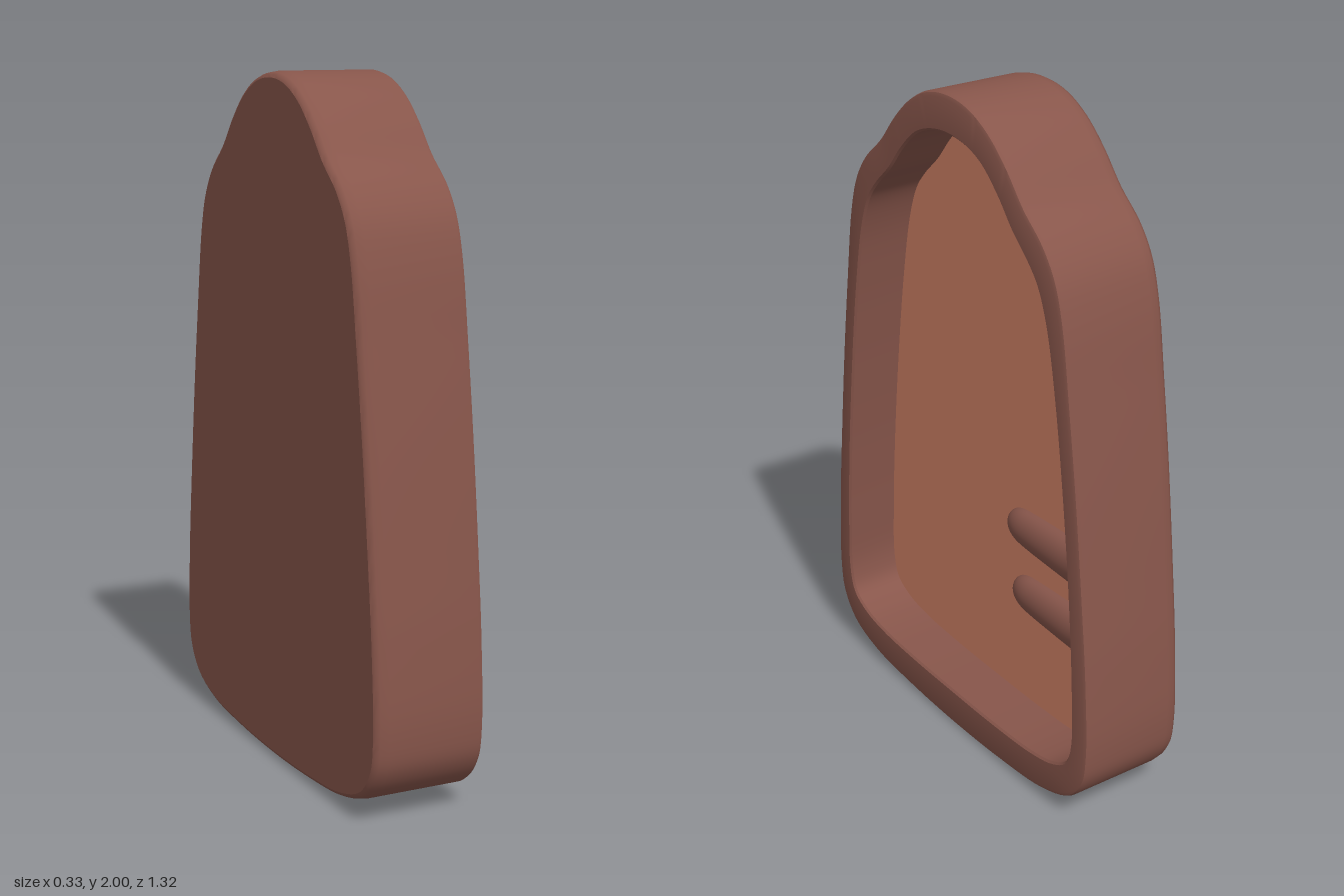
import * as THREE from 'three';
import { toCreasedNormals } from 'three/addons/utils/BufferGeometryUtils.js';

const STEPS = 204;
const BACK = -0.165, FRONT = 0.165, FLOOR = 0;

// Half outlines as [z, y], bottom centre to top centre; both have the same point count
const OUTER = [[0, 0], [0.25, 0.008], [0.45, 0.03], [0.58, 0.08], [0.643, 0.16], [0.66, 0.26],
  [0.65, 0.5], [0.625, 0.75], [0.59, 1.05], [0.555, 1.3], [0.52, 1.52], [0.485, 1.63],
  [0.43, 1.71], [0.345, 1.785], [0.27, 1.87], [0.19, 1.94], [0.1, 1.985], [0, 2]];
const INNER = [[0, 0.12], [0.22, 0.122], [0.4, 0.133], [0.5, 0.155], [0.565, 0.195], [0.588, 0.27],
  [0.585, 0.45], [0.565, 0.72], [0.53, 1.03], [0.49, 1.3], [0.45, 1.49], [0.41, 1.59],
  [0.365, 1.645], [0.295, 1.71], [0.23, 1.785], [0.155, 1.85], [0.08, 1.88], [0, 1.89]];

// Mirror a half outline and smooth it into a closed loop
function outline(half) {
  const mirrored = half.slice(1, -1).reverse().map(([z, y]) => [-z, y]);
  const pts = [...half, ...mirrored].map(([z, y]) => new THREE.Vector3(0, y, z));
  return new THREE.CatmullRomCurve3(pts, true);
}

// One loop of points at depth x, moved inwards by inset
function ring(curve, x, inset) {
  return Array.from({ length: STEPS }, (_, i) => {
    const p = curve.getPoint(i / STEPS), t = curve.getTangent(i / STEPS);
    return new THREE.Vector3(x, p.y + t.z * inset, p.z - t.y * inset);
  });
}

function loft(rings) {
  const pos = rings.flat().flatMap((p) => [p.x, p.y, p.z]);
  const index = [];
  for (let k = 0; k < rings.length - 1; k++) {
    for (let i = 0; i < STEPS; i++) {
      const j = (i + 1) % STEPS;
      const a = k * STEPS + i, b = a + STEPS, c = (k + 1) * STEPS + j, d = k * STEPS + j;
      index.push(a, b, c, a, c, d);
    }
  }
  const g = new THREE.BufferGeometry();
  g.setAttribute('position', new THREE.Float32BufferAttribute(pos, 3));
  g.setIndex(index);
  return toCreasedNormals(g, 0.7);
}

// Flat panel filling a ring, facing +x (side 1) or -x (side -1)
function panel(points, side) {
  const shape = new THREE.Shape(points.map((p) => new THREE.Vector2(-side * p.z, p.y)));
  const g = new THREE.ShapeGeometry(shape);
  g.rotateY((side * Math.PI) / 2);
  g.translate(points[0].x, 0, 0);
  return g;
}

export function createModel() {
  const group = new THREE.Group();
  const shellMat = new THREE.MeshStandardMaterial({ color: 0x88564b });
  const floorMat = new THREE.MeshStandardMaterial({ color: 0xcd7f64 });
  const add = (name, geometry, material) => {
    const mesh = new THREE.Mesh(geometry, material);
    mesh.name = name;
    group.add(mesh);
    return mesh;
  };

  const outer = outline(OUTER), inner = outline(INNER);

  // Outer wall, softened rim and inner wall in one loft
  const backRing = ring(outer, BACK, 0.018);
  add('shell', loft([
    backRing,
    ring(outer, BACK + 0.004, 0.01),
    ring(outer, BACK + 0.015, 0.004),
    ring(outer, BACK + 0.04, 0),
    ring(outer, FRONT - 0.014, 0),
    ring(outer, FRONT - 0.004, 0.004),
    ring(outer, FRONT, 0.014),
    ring(inner, FRONT, -0.006),
    ring(inner, FRONT - 0.006, 0),
    ring(inner, FLOOR, 0),
  ]), shellMat);
  add('backPanel', panel(backRing, -1), shellMat);

  // Recessed floor
  add('recessFloor', panel(ring(inner, FLOOR, 0), 1), floorMat);

  // Two tapered ridges running from the wall across the floor
  const profile = new THREE.SplineCurve([[0, 0], [0.034, 0.018], [0.054, 0.06], [0.061, 0.13],
    [0.066, 0.25], [0.07, 0.34], [0.083, 0.41], [0.085, 0.46], [0.08, 0.51]]
    .map(([r, l]) => new THREE.Vector2(r, l))).getPoints(48);
  profile[0].x = 0;
  const ridge = new THREE.LatheGeometry(profile, 40);
  ridge.rotateX(-Math.PI / 2);
  ridge.scale(0.75, 1, 1);
  [['upperRidge', 0.708, -0.068], ['lowerRidge', 0.494, -0.096]].forEach(([name, y, z]) => {
    add(name, ridge, shellMat).position.set(FLOOR, y, z);
  });

  return group;
}
